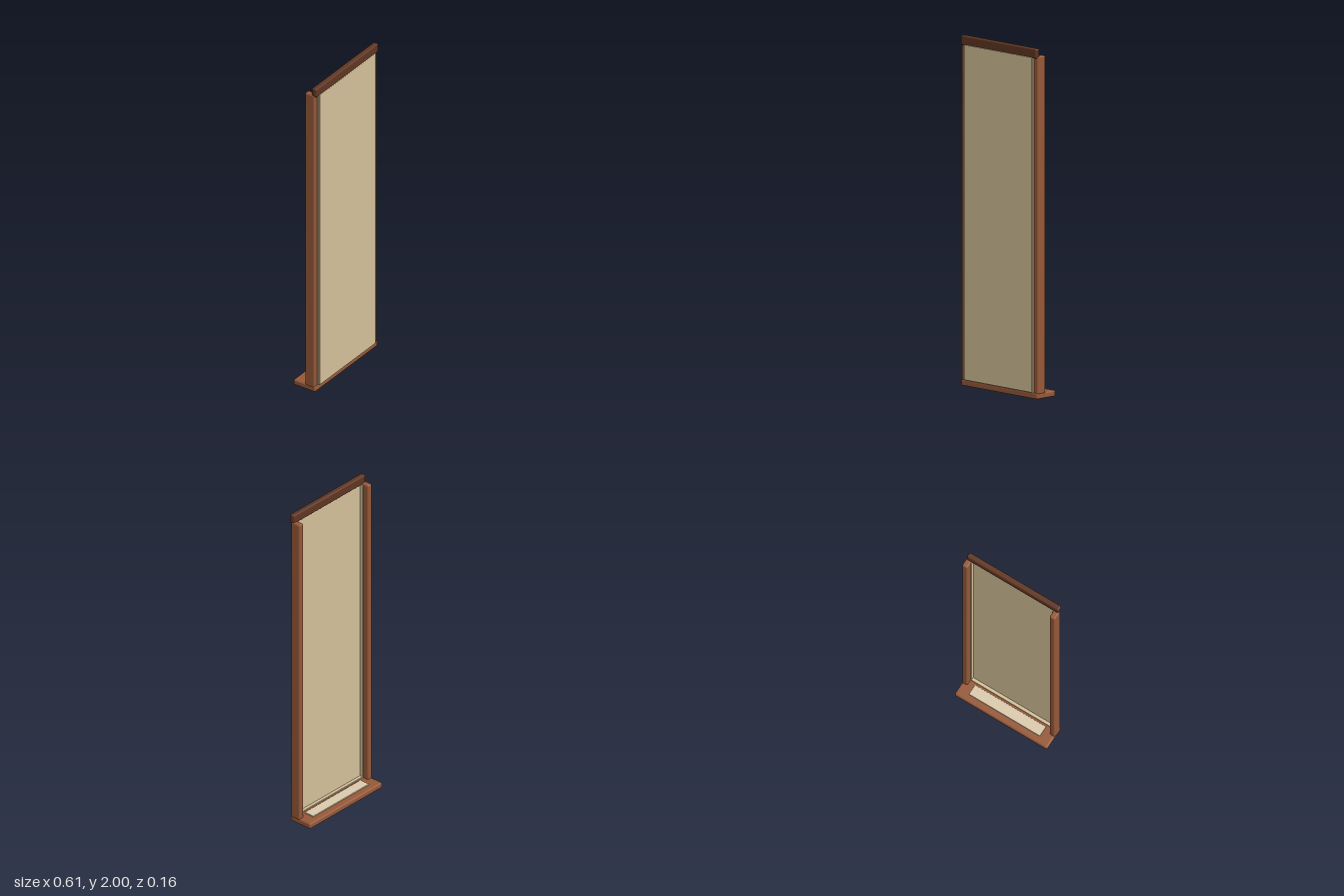
import * as THREE from 'three';
import { RoundedBoxGeometry } from 'three/addons/geometries/RoundedBoxGeometry.js';

export function createModel() {
  const group = new THREE.Group();
  const mat = (color) => new THREE.MeshStandardMaterial({ color });
  const wood = mat(0x955838);
  const darkWood = mat(0x5f3522);
  const cream = mat(0xd2bf98);
  const pale = mat(0xdac9ad);

  // Rounded block given by its extents on each axis
  function block(name, [x0, x1], [y0, y1], [z0, z1], radius, material) {
    const geometry = new RoundedBoxGeometry(x1 - x0, y1 - y0, z1 - z0, 3, radius);
    const mesh = new THREE.Mesh(geometry, material);
    mesh.name = name;
    mesh.position.set((x0 + x1) / 2, (y0 + y1) / 2, (z0 + z1) / 2);
    group.add(mesh);
  }

  // Sill with its pale inlay
  block('base', [-0.306, 0.306], [0, 0.035], [-0.08, 0.07], 0.01, wood);
  block('baseInlay', [-0.235, 0.235], [0.03, 0.041], [-0.041, 0.024], 0.002, pale);

  // Screen panel and head rail
  block('panel', [-0.273, 0.273], [0.036, 1.95], [0.056, 0.079], 0.004, cream);
  block('topRail', [-0.304, 0.304], [1.945, 2], [0.044, 0.077], 0.009, darkWood);

  // Side posts and the thin lips holding the panel
  for (const [side, s] of [['left', 1], ['right', -1]]) {
    const span = (a, b) => (s > 0 ? [a, b] : [-b, -a]);
    block(side + 'Post', span(0.272, 0.307), [0.028, 1.956], [0, 0.065], 0.009, wood);
    block(side + 'PanelLip', span(0.267, 0.274), [0.036, 1.948], [0.037, 0.07], 0.002, cream);
  }
  block('bottomPanelLip', [-0.27, 0.27], [0.033, 0.042], [0.037, 0.07], 0.002, cream);

  return group;
}
